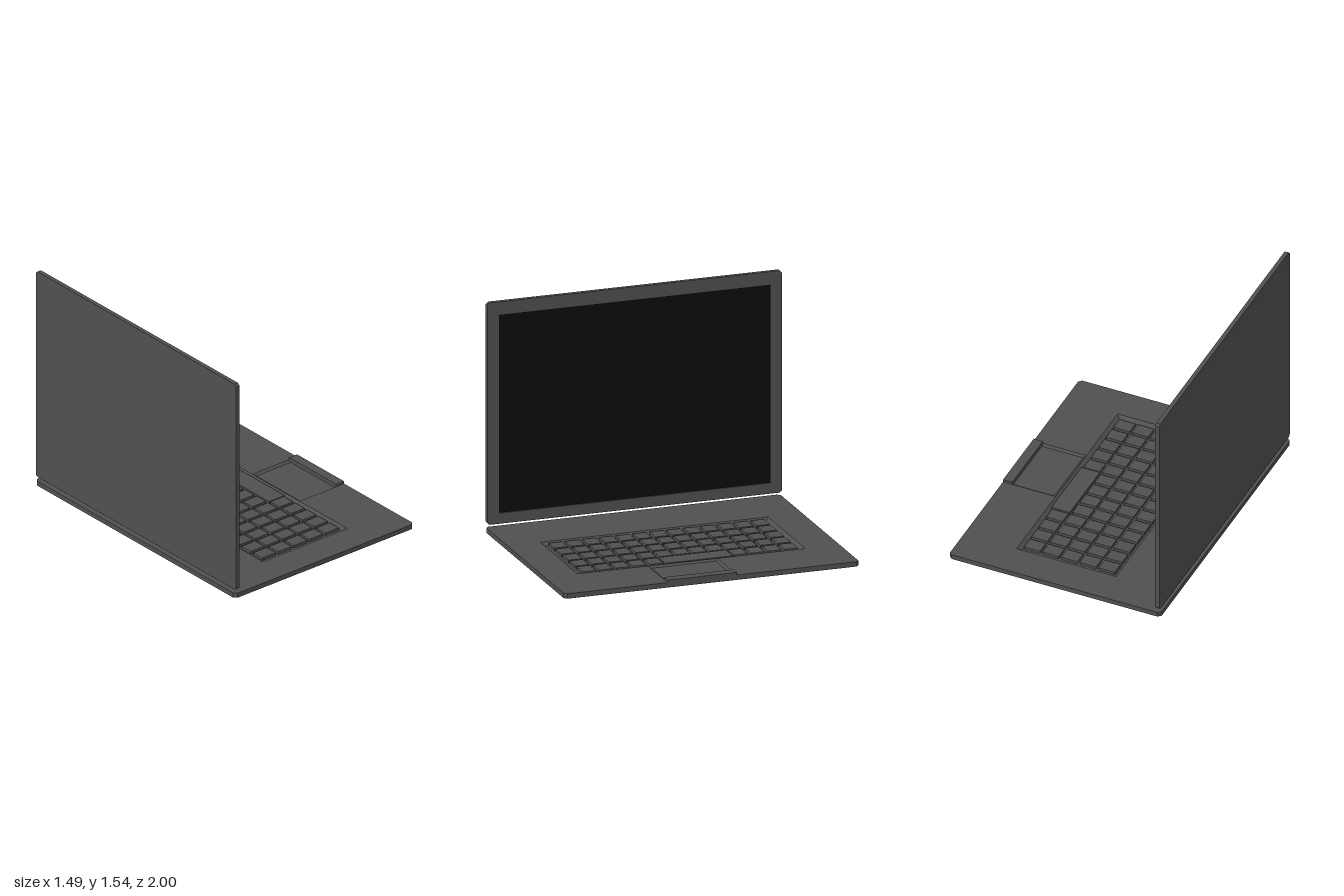
import * as THREE from 'three';

const shell = new THREE.MeshStandardMaterial({ color: 0x505050 });
const black = new THREE.MeshStandardMaterial({ color: 0x0d0d0d });

// Rectangle with cut corners (c = 0 gives a plain rectangle)
function outline(x0, x1, y0, y1, c, Type = THREE.Shape) {
  const pts = [
    [x0 + c, y0], [x1 - c, y0], [x1, y0 + c], [x1, y1 - c],
    [x1 - c, y1], [x0 + c, y1], [x0, y1 - c], [x0, y0 + c],
  ];
  const corners = c ? pts : [[x0, y0], [x1, y0], [x1, y1], [x0, y1]];
  return new Type(corners.map(([x, y]) => new THREE.Vector2(x, y)));
}

function plate(shape, depth, holes = []) {
  shape.holes = holes.map(([a, b, c, d]) => outline(a, b, c, d, 0, THREE.Path));
  return new THREE.ExtrudeGeometry(shape, { depth, bevelEnabled: false });
}

function add(parent, name, geometry, material = shell) {
  const mesh = new THREE.Mesh(geometry, material);
  mesh.name = name;
  parent.add(mesh);
  return mesh;
}

// Box given by its limits
function block(x0, x1, y0, y1, z0, z1) {
  return new THREE.BoxGeometry(x1 - x0, y1 - y0, z1 - z0)
    .translate((x0 + x1) / 2, (y0 + y1) / 2, (z0 + z1) / 2);
}

// Sunken tray: four sloping walls and a floor, seen from above
function tray([x0, x1, z0, z1], inset, top, floor) {
  const ring = (i, y) => [
    [x0 + i, y, z0 + i], [x0 + i, y, z1 - i], [x1 - i, y, z1 - i], [x1 - i, y, z0 + i],
  ];
  const rim = ring(0, top), low = ring(inset, floor), pos = [];
  const quad = (a, b, c, d) => pos.push(...a, ...b, ...c, ...a, ...c, ...d);
  quad(...low);
  for (let i = 0; i < 4; i++) {
    const j = (i + 1) % 4;
    quad(rim[i], rim[j], low[j], low[i]);
  }
  const g = new THREE.BufferGeometry();
  g.setAttribute('position', new THREE.Float32BufferAttribute(pos, 3));
  g.computeVertexNormals();
  return g;
}

export function createModel() {
  const model = new THREE.Group();
  model.name = 'laptop';

  // Base: solid bottom, and a top plate with openings for the two trays
  const top = 0.033, bottom = 0.008;
  const keyWell = [-0.328, 0.37, -0.768, 0.778];
  const padWell = [0.372, 0.72, -0.17, 0.3];
  const base = new THREE.Group();
  base.name = 'base';
  model.add(base);
  const baseShape = () => outline(-0.745, 0.74, -1, 1, 0.02);
  add(base, 'baseBottom', plate(baseShape(), bottom).rotateX(Math.PI / 2).translate(0, bottom, 0));
  add(base, 'baseTop', plate(baseShape(), top - bottom, [keyWell, padWell])
    .rotateX(Math.PI / 2).translate(0, top, 0));
  add(base, 'keyboardTray', tray(keyWell, 0.024, top, 0.012));
  add(base, 'touchpad', tray(padWell, 0.016, top, 0.021));
  add(base, 'touchpadButton', block(0.675, 0.74, 0.015, 0.05, -0.17, 0.3));

  // Keys: 5 columns by 13 rows, with the space bar in the front column
  const keyboard = new THREE.Group();
  keyboard.name = 'keyboard';
  model.add(keyboard);
  for (let col = 0; col < 5; col++) {
    for (let row = 0; row < 13; row++) {
      if (col === 4 && row > 3 && row < 8) continue;
      const x = -0.3 + col * 0.131, z = -0.73 + row * 0.1143;
      add(keyboard, 'key', block(x, x + 0.113, 0.01, 0.031, z, z + 0.092));
    }
  }
  add(keyboard, 'spaceBar', block(0.22, 0.35, 0.01, 0.031, -0.283, 0.177));

  // Upright lid: solid back, bezel with a window, and the display inside it
  const lid = new THREE.Group();
  lid.name = 'lid';
  model.add(lid);
  const window = [-0.922, 0.922, 0.128, 1.458];
  const lidShape = () => outline(-1, 1, 0.057, 1.545, 0.015);
  add(lid, 'lidBack', plate(lidShape(), 0.019).rotateY(Math.PI / 2).translate(-0.737, 0, 0));
  add(lid, 'bezel', plate(lidShape(), 0.01, [window]).rotateY(Math.PI / 2).translate(-0.718, 0, 0));
  add(lid, 'display', block(-0.725, -0.715, window[2], window[3], window[0], window[1]), black);

  return model;
}
